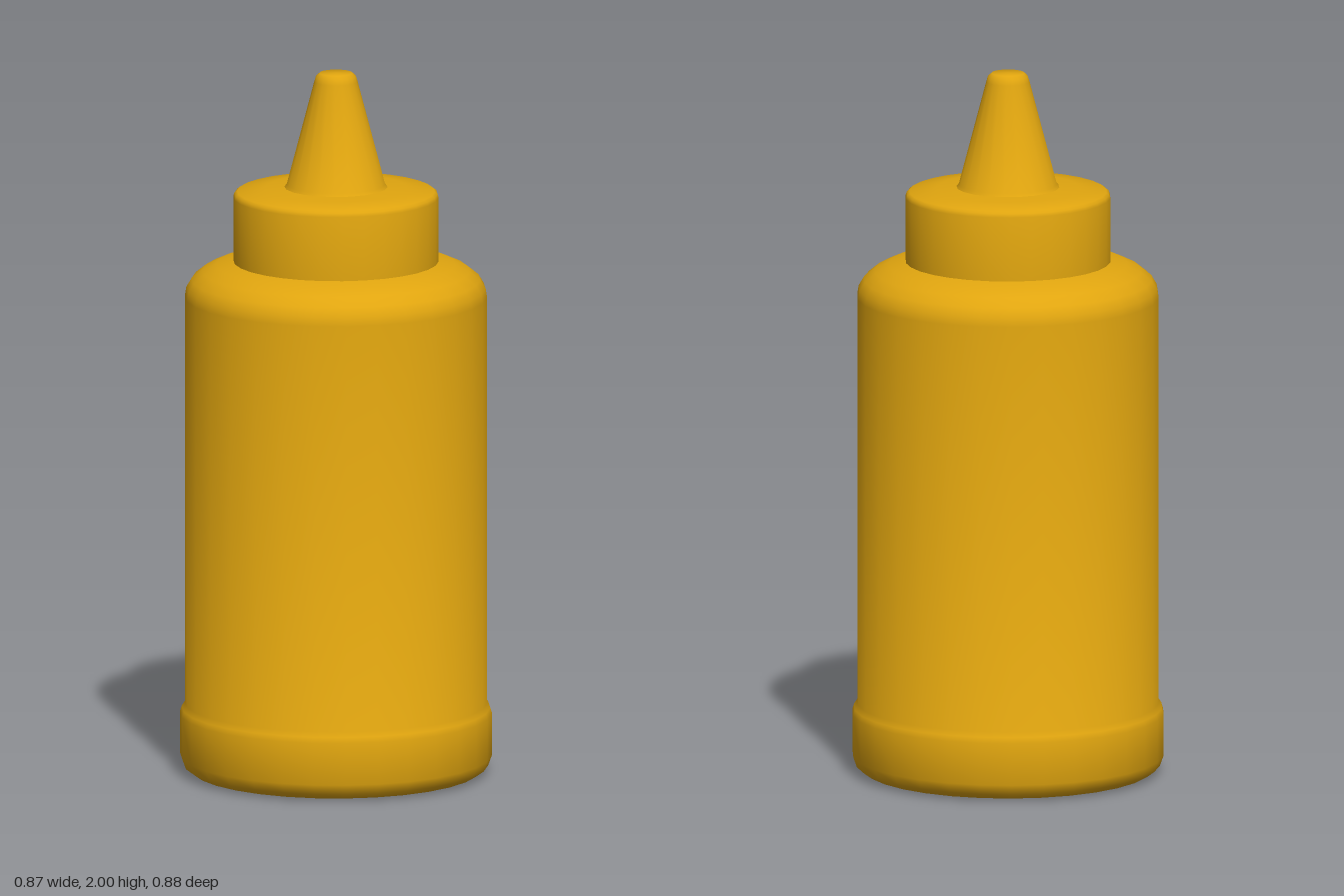
import * as THREE from 'three';
import { toCreasedNormals } from 'three/addons/utils/BufferGeometryUtils.js';

export function createModel() {
  const model = new THREE.Group();
  model.name = 'squeezeBottle';
  const mustard = new THREE.MeshStandardMaterial({ color: 0xe0a50f });
  mustard.name = 'mustard yellow';

  // Spin a profile of [radius, height] pairs, listed from bottom to top
  function turned(name, profile, segments) {
    const points = profile.map(([r, y]) => new THREE.Vector2(r, y));
    const geometry = toCreasedNormals(new THREE.LatheGeometry(points, segments), 0.75);
    const mesh = new THREE.Mesh(geometry, mustard);
    mesh.name = name;
    model.add(mesh);
  }

  // Body: dimpled underside, flared foot, straight wall, rounded shoulder
  turned('body', [
    [0, 0.1], [0.03, 0.075], [0.1, 0.035], [0.2, 0.018], [0.32, 0.004], [0.37, 0],
    [0.405, 0.006], [0.427, 0.022], [0.437, 0.05], [0.438, 0.17],
    [0.433, 0.186], [0.424, 0.2], [0.424, 1.36],
    [0.42, 1.385], [0.405, 1.41], [0.375, 1.434], [0.335, 1.452], [0.28, 1.464],
  ], 30);

  // Screw cap with a softened rim and slightly raised top
  turned('cap', [
    [0.288, 1.44], [0.288, 1.645], [0.285, 1.655], [0.277, 1.661],
    [0.2, 1.67], [0.13, 1.675],
  ], 30);

  // Tapered nozzle with a blunt tip
  turned('nozzle', [
    [0.15, 1.668], [0.138, 1.682], [0.061, 1.975], [0.056, 1.991], [0.046, 2], [0, 2],
  ], 20);

  return model;
}
